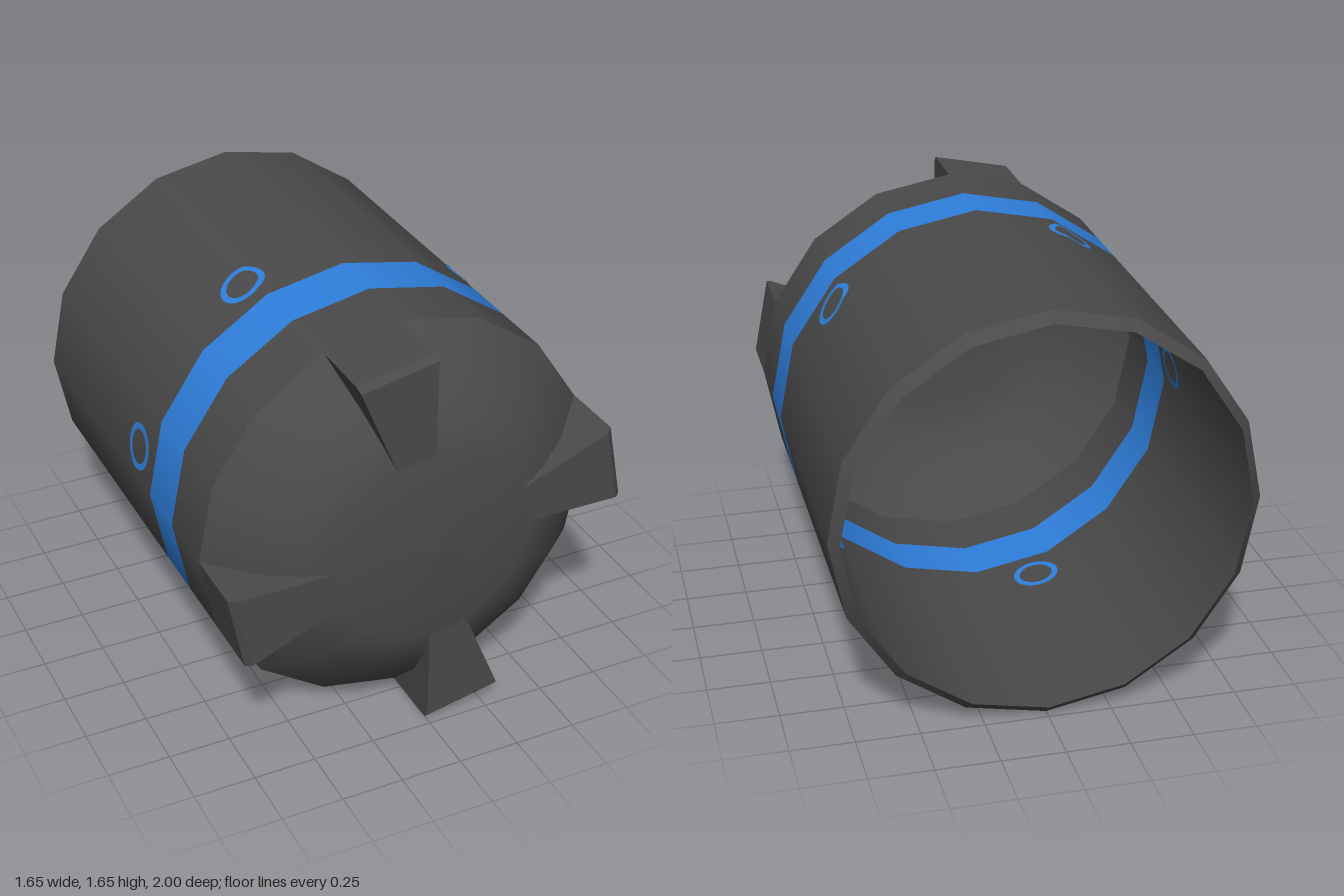
import * as THREE from 'three';

const SIDES = 16;
const STEP = (Math.PI * 2) / SIDES;
const R = 0.825;

// Dome profile as (radius, z), shared by the dome and the lug undersides
const DOME = [[R, 0.69], [0.66, 0.855], [0.52, 0.935], [0.41, 0.975], [0.2, 0.99], [0, 1]];

export function createModel() {
  const charcoal = new THREE.MeshStandardMaterial({ color: 0x4a4a4a, side: THREE.DoubleSide });
  charcoal.name = 'charcoal';
  const blue = new THREE.MeshStandardMaterial({ color: 0x2f80de, side: THREE.DoubleSide });
  blue.name = 'blue';

  const model = new THREE.Group();
  model.name = 'canister';
  const add = (name, geometry, material) => {
    const mesh = new THREE.Mesh(geometry, material);
    mesh.name = name;
    mesh.position.y = R;
    model.add(mesh);
    return mesh;
  };

  // Sixteen-sided shell sections turned around the z axis
  const turned = (name, profile, material) => {
    const points = profile.map(([r, z]) => new THREE.Vector2(r, z));
    add(name, new THREE.LatheGeometry(points, SIDES).rotateX(Math.PI / 2), material);
  };
  turned('rearLip', [[0.785, -1], [R, -0.96]], charcoal);
  turned('rearBody', [[R, -0.96], [R, 0.19]], charcoal);
  turned('band', [[R, 0.19], [R, 0.42]], blue);
  turned('frontCollar', [[R, 0.42], [R, 0.69]], charcoal);
  turned('dome', DOME, charcoal);

  // Four lugs: a radial profile swept across one side of the shell
  const profile = [...DOME.slice(0, 4).reverse(), [R, 0.955], [0.8, 0.977]];
  const shape = new THREE.Shape(profile.map(([r, z]) => new THREE.Vector2(r, z)));
  const lugGeometry = new THREE.ExtrudeGeometry(shape, { depth: 1, bevelEnabled: false });
  const lp = lugGeometry.attributes.position;
  for (let i = 0; i < lp.count; i++) {
    const r = lp.getX(i), z = lp.getY(i), a = (1 - lp.getZ(i)) * STEP;
    lp.setXYZ(i, r * Math.cos(a), r * Math.sin(a), z);
  }
  lugGeometry.computeVertexNormals();
  for (let i = 0; i < 4; i++) {
    add('lug', lugGeometry, charcoal).rotation.z = (i * Math.PI) / 2;
  }

  // Distance from the axis to the faceted wall at a given angle
  const wall = (a) => {
    const local = ((a % STEP) + STEP) % STEP;
    return (R * Math.cos(STEP / 2)) / Math.cos(local - STEP / 2);
  };

  // Painted rings wrapped onto the outside and inside of the wall
  const ring = (name, degrees, offset) => {
    const g = new THREE.RingGeometry(0.07, 0.096, 48, 2);
    const p = g.attributes.position;
    for (let i = 0; i < p.count; i++) {
      const a = THREE.MathUtils.degToRad(degrees) + p.getX(i) / R;
      const r = wall(a) + offset;
      p.setXYZ(i, r * Math.cos(a), r * Math.sin(a), 0.035 - p.getY(i));
    }
    // Reversed z keeps the face order pointing outward
    g.scale(1, 1, -1).translate(0, 0, 0.07);
    g.computeVertexNormals();
    add(name, g, blue);
  };
  for (const degrees of [41, 115.5, 171, 254, 325]) {
    ring('outerRing', degrees, 0.004);
    ring('innerRing', degrees, -0.004);
  }

  return model;
}
